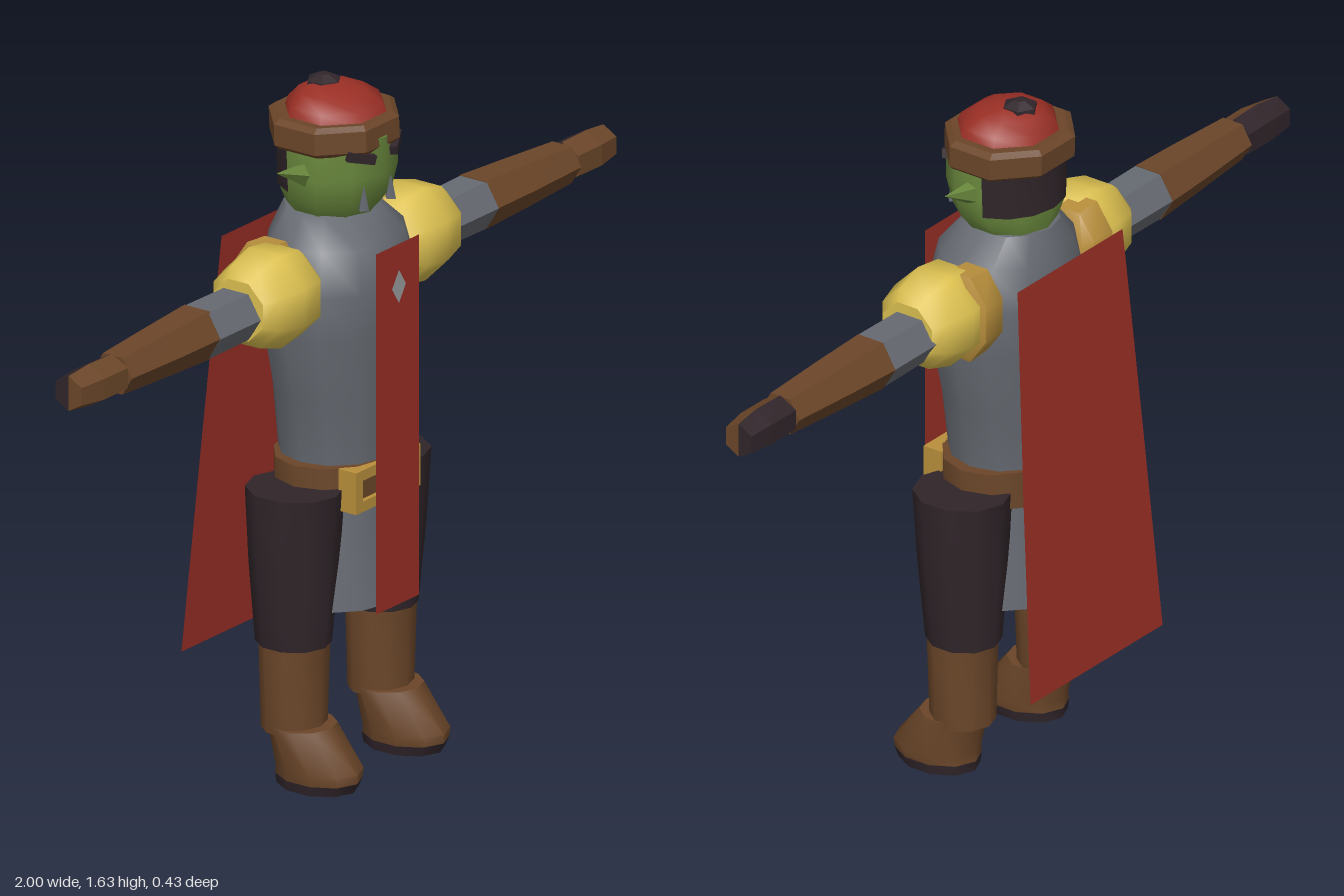
import * as THREE from 'three';
import { toCreasedNormals } from 'three/addons/utils/BufferGeometryUtils.js';

const TAU = Math.PI * 2;

// Loft through elliptical rings [y, halfWidth, halfDepth, centreZ]
function loft(rings, sides = 8, { crease = 0.9, start = 0, arc = TAU, cap = true } = {}) {
  const first = rings[0], last = rings[rings.length - 1];
  const all = cap
    ? [[first[0], 0, 0, first[3]], ...rings, [last[0], 0, 0, last[3]]]
    : rings;
  const geo = new THREE.LatheGeometry(all.map((r, i) => new THREE.Vector2(1, i)), sides, start, arc);
  const p = geo.attributes.position;
  for (let i = 0; i < p.count; i++) {
    const [y, w, d, c] = all[Math.round(p.getY(i))];
    p.setXYZ(i, p.getX(i) * w, y, p.getZ(i) * d + c);
  }
  return toCreasedNormals(geo, crease);
}

// Flat cloth from rows [y, halfWidth, z]
function sheet(rows) {
  const geo = new THREE.PlaneGeometry(2, 1, 1, rows.length - 1);
  const p = geo.attributes.position;
  for (let i = 0; i < p.count; i++) {
    const [y, w, z] = rows[Math.floor(i / 2)];
    p.setXYZ(i, p.getX(i) * w, y, z);
  }
  geo.computeVertexNormals();
  return geo;
}

export function createModel() {
  const model = new THREE.Group();
  model.name = 'capedFighter';

  const mat = (name, color, side = THREE.FrontSide) => {
    const m = new THREE.MeshStandardMaterial({ color, side });
    m.name = name;
    return m;
  };
  const skin = mat('greenSkin', 0x6b8a3e);
  const red = mat('redCloth', 0x9a2f25, THREE.DoubleSide);
  const brown = mat('brownLeather', 0x6b4629);
  const dark = mat('darkLeather', 0x30252a);
  const grey = mat('greyTunic', 0x666a71);
  const gold = mat('gold', 0xdcc050);
  const brass = mat('brass', 0xb88f3c);
  const silver = mat('silver', 0x999b9e, THREE.DoubleSide);

  const add = (name, geo, material, parent = model) => {
    const mesh = new THREE.Mesh(geo, material);
    mesh.name = name;
    parent.add(mesh);
    return mesh;
  };

  // Torso and skirt
  add('torso', loft([
    [0.68, 0.135, 0.128, 0.033], [0.75, 0.137, 0.132, 0.033], [0.9, 0.16, 0.142, 0.035],
    [1.06, 0.2, 0.155, 0.035], [1.17, 0.205, 0.163, 0.036], [1.27, 0.175, 0.145, 0.033],
    [1.335, 0.11, 0.105, 0.015],
  ], 12), grey);
  add('skirt', loft([[0.405, 0.16, 0.148, 0.035], [0.68, 0.135, 0.126, 0.035]], 12), grey);

  // Belt and buckle
  add('belt', loft([[0.66, 0.165, 0.136, 0.035], [0.75, 0.165, 0.136, 0.035]], 12), brown);
  const frame = new THREE.Shape();
  frame.moveTo(-0.12, 0.65).lineTo(0.12, 0.65).lineTo(0.12, 0.75).lineTo(-0.12, 0.75).closePath();
  const gap = new THREE.Path();
  gap.moveTo(-0.095, 0.675).lineTo(-0.095, 0.725).lineTo(0.095, 0.725).lineTo(0.095, 0.675).closePath();
  frame.holes.push(gap);
  add('buckle', new THREE.ExtrudeGeometry(frame, { depth: 0.05, bevelEnabled: false }), brass)
    .position.z = 0.127;
  add('buckleBacking', new THREE.BoxGeometry(0.2, 0.06, 0.03), brown).position.set(0, 0.7, 0.15);

  // Tabard with its diamond, and cape
  add('tabard', sheet([[1.27, 0.08, 0.203], [0.405, 0.08, 0.203]]), red);
  const gem = add('diamond', new THREE.CircleGeometry(0.04, 4), silver);
  gem.scale.x = 0.65;
  gem.position.set(0, 1.17, 0.207);
  add('cape', sheet([[1.27, 0.195, -0.145], [0.77, 0.222, -0.182], [0.27, 0.245, -0.22]]), red);

  // Head
  const head = new THREE.Group();
  head.name = 'head';
  model.add(head);
  add('face', loft([
    [1.325, 0.1, 0.1, 0.02], [1.37, 0.132, 0.122, 0.03],
    [1.43, 0.143, 0.13, 0.036], [1.52, 0.14, 0.13, 0.037],
  ], 10), skin, head);
  add('hair', loft([[1.39, 0.142, 0.135, 0.035], [1.5, 0.148, 0.137, 0.035]], 6,
    { start: 1.85, arc: TAU - 3.7 }), dark, head);

  // Cap: band, dome and button
  add('capBand', loft([
    [1.49, 0.15, 0.138, 0.028], [1.5, 0.162, 0.148, 0.026], [1.55, 0.162, 0.148, 0.024],
    [1.56, 0.145, 0.135, 0.025],
  ], 8, { crease: 0.3, start: Math.PI / 8 }), brown, head);
  add('capDome', loft([
    [1.55, 0.128, 0.12, 0.03], [1.58, 0.115, 0.108, 0.028], [1.605, 0.08, 0.078, 0.02],
    [1.62, 0.035, 0.035, 0.005],
  ], 8, { start: Math.PI / 8 }), red, head);
  add('capButton', loft([[1.605, 0.042, 0.042, -0.004], [1.622, 0.04, 0.04, -0.004],
    [1.635, 0.014, 0.014, -0.004]], 6, { crease: 0.2 }), dark, head);

  for (const s of [1, -1]) {
    const label = s > 0 ? 'left' : 'right';

    // Ear, brow and tusk
    const ear = add(label + 'Ear', loft([[-0.02, 0.032, 0.028, 0], [0.095, 0.001, 0.001, 0]], 5,
      { crease: 0.2 }), skin, head);
    ear.position.set(s * 0.135, 1.442, 0.035);
    ear.rotation.z = -s * 1.27;
    const brow = add(label + 'Brow', new THREE.BoxGeometry(0.07, 0.022, 0.02), dark, head);
    brow.position.set(s * 0.065, 1.485, 0.148);
    brow.rotation.set(0, s * 0.5, s * 0.25);
    const tusk = add(label + 'Tusk', new THREE.ConeGeometry(0.015, 0.06, 4), grey, head);
    tusk.position.set(s * 0.05, 1.385, 0.146);

    // Arm, built upright and then turned out to the side
    const arm = new THREE.Group();
    arm.name = label + 'Arm';
    arm.position.set(0, 1.175, 0);
    arm.rotation.z = -s * Math.PI / 2;
    model.add(arm);
    const flat = { crease: 0.1 };
    add('sleeve', loft([[0.15, 0.06, 0.07, 0.027], [0.52, 0.065, 0.07, 0.027]], 6, flat), grey, arm);
    add('forearm', loft([[0.515, 0.067, 0.07, 0.026], [0.66, 0.06, 0.065, 0.03],
      [0.84, 0.051, 0.054, 0.034]], 6, flat), brown, arm);
    const hand = [[0.842, 0.048, 0.052, 0.033], [0.93, 0.05, 0.052, 0.033], [1, 0.042, 0.042, 0.03]];
    add('handFront', loft(hand, 3, { crease: 0.1, start: -Math.PI / 2, arc: Math.PI }), brown, arm);
    add('handBack', loft(hand, 3, { crease: 0.1, start: Math.PI / 2, arc: Math.PI }), dark, arm);

    // Shoulder guard and cape clasp
    add('shoulderGuard', loft([
      [0.16, 0.08, 0.08, 0.033], [0.2, 0.112, 0.112, 0.033], [0.27, 0.12, 0.12, 0.033],
      [0.34, 0.1, 0.1, 0.033], [0.37, 0.075, 0.075, 0.033],
    ], 8, { start: Math.PI / 8 }), gold, arm).position.x = -s * 0.01;
    add('capeClasp', loft([
      [0.15, 0.07, 0.06, -0.01], [0.17, 0.11, 0.078, -0.012], [0.235, 0.115, 0.08, -0.012],
      [0.25, 0.08, 0.06, -0.01],
    ], 8, { start: Math.PI / 8 }), brass, arm).position.x = -s * 0.01;

    // Leg, boot and sole
    const leg = new THREE.Group();
    leg.name = label + 'Leg';
    leg.position.x = s * 0.162;
    model.add(leg);
    add('trouser', loft([[0.33, 0.084, 0.088, 0.032], [0.52, 0.1, 0.104, 0.034],
      [0.7, 0.108, 0.115, 0.036]], 10), dark, leg);
    add('bootShaft', loft([[0.125, 0.077, 0.074, 0.034], [0.34, 0.083, 0.08, 0.035]], 10), brown, leg);
    add('bootFoot', loft([[0.022, 0.082, 0.106, 0.104], [0.045, 0.086, 0.106, 0.106],
      [0.14, 0.08, 0.078, 0.058]], 10), brown, leg);
    add('sole', loft([[0, 0.078, 0.1, 0.1], [0.024, 0.083, 0.107, 0.104]], 10), dark, leg);
  }

  return model;
}
